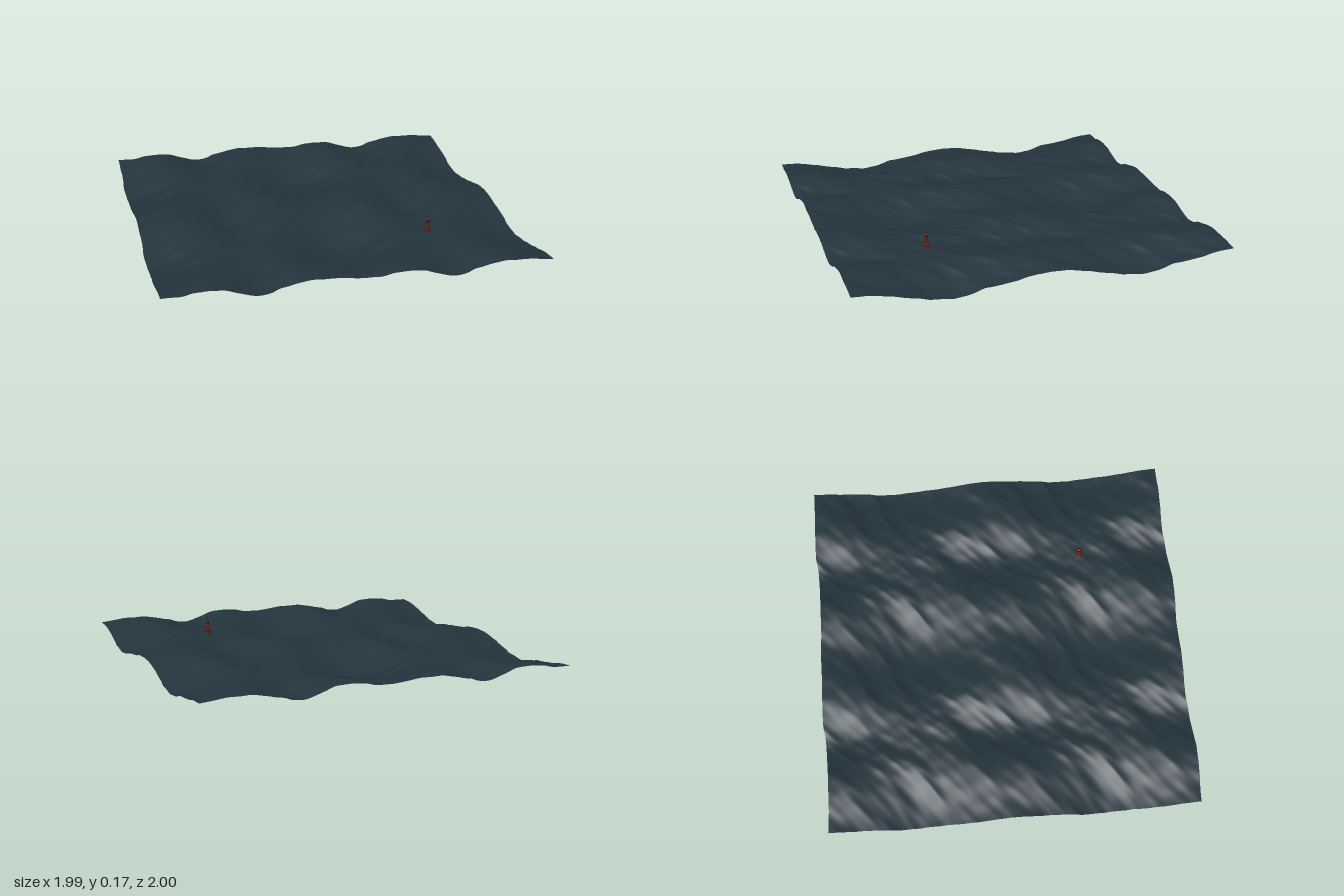
import * as THREE from 'three';

const SEA_SIZE = 1.98;
const TAU = Math.PI * 2;

// Small ripples: [cycles along x, cycles along z, amplitude, phase]
const RIPPLES = [
  [2, 3, 0.0026, 0.6], [3, 2, 0.0022, 2.1], [4, 5, 0.0016, 4.0],
  [1, 5, 0.0016, 1.3], [7, 4, 0.0011, 5.2], [5, 9, 0.0009, 0.2],
  [11, 8, 0.0006, 3.3], [9, -4, 0.0006, 2.7], [13, 15, 0.0004, 1.1],
];

// Choppy periodic swell: returns the displaced point for a flat grid point
function seaPoint(x, z) {
  const u = TAU * x / (SEA_SIZE / 2), v = TAU * z / (SEA_SIZE / 2);
  const cu = Math.cos(u), su = Math.sin(u), cv = Math.cos(v), sv = Math.sin(v);
  let y = 0.0475 - 0.0075 * cu + 0.01 * cv + 0.025 * cu * cv
    + su * su * (0.03 + 0.0075 * cv);
  let px = x + 0.026 * su + 0.003 * Math.sin(2 * v + 1) * cu;
  let pz = z + 0.006 * su * cv + 0.008 * sv;
  for (const [kx, kz, amp, phase] of RIPPLES) {
    // bend the ripples with the swell so the crests wander
    const a = kx * u + kz * v + phase + 0.9 * Math.sin(u - v) + 0.6 * Math.sin(2 * u + v);
    const len = Math.hypot(kx, kz);
    y += amp * Math.cos(a);
    px -= amp * 0.8 * Math.sin(a) * kx / len;
    pz -= amp * 0.8 * Math.sin(a) * kz / len;
  }
  return [px, Math.max(0, y), pz];
}

function createSea() {
  const geo = new THREE.PlaneGeometry(SEA_SIZE, SEA_SIZE, 160, 160);
  geo.rotateX(-Math.PI / 2);
  const pos = geo.attributes.position;
  for (let i = 0; i < pos.count; i++) {
    pos.setXYZ(i, ...seaPoint(pos.getX(i), pos.getZ(i)));
  }
  geo.computeVertexNormals();
  const sea = new THREE.Mesh(geo, new THREE.MeshStandardMaterial({ color: 0x24343d, side: THREE.DoubleSide }));
  sea.name = 'seaSurface';
  return sea;
}

function createBuoy() {
  const buoy = new THREE.Group();
  buoy.name = 'buoy';
  const red = new THREE.MeshStandardMaterial({ color: 0x6e1a10 });
  const dark = new THREE.MeshStandardMaterial({ color: 0x2a1614 });
  const add = (name, geo, mat, y) => {
    const mesh = new THREE.Mesh(geo, mat);
    mesh.name = name;
    mesh.position.y = y;
    buoy.add(mesh);
    return mesh;
  };

  // Float, partly under water
  add('float', new THREE.CylinderGeometry(0.016, 0.014, 0.026, 16), red, 0.002);
  add('floatRim', new THREE.TorusGeometry(0.016, 0.002, 6, 20).rotateX(Math.PI / 2), dark, 0.012);

  // Tapering frame of four legs with rings
  const up = new THREE.Vector3(0, 1, 0);
  for (let i = 0; i < 4; i++) {
    const a = Math.PI / 4 + i * Math.PI / 2;
    const foot = new THREE.Vector3(Math.cos(a) * 0.013, 0.013, Math.sin(a) * 0.013);
    const head = new THREE.Vector3(Math.cos(a) * 0.008, 0.052, Math.sin(a) * 0.008);
    const span = head.clone().sub(foot);
    const leg = add('frameLeg', new THREE.CylinderGeometry(0.0014, 0.0014, span.length(), 6), red, 0);
    leg.position.copy(foot).addScaledVector(span, 0.5);
    leg.quaternion.setFromUnitVectors(up, span.normalize());
  }
  add('frameRing', new THREE.TorusGeometry(0.0105, 0.0012, 5, 16).rotateX(Math.PI / 2), red, 0.033);

  // Platform, lantern housing and mast
  add('platform', new THREE.CylinderGeometry(0.0105, 0.0105, 0.004, 12), red, 0.052);
  add('lantern', new THREE.CylinderGeometry(0.008, 0.009, 0.016, 12), dark, 0.061);
  add('lanternCap', new THREE.CylinderGeometry(0.002, 0.009, 0.005, 12), red, 0.0715);
  add('mast', new THREE.CylinderGeometry(0.0014, 0.0014, 0.024, 6), dark, 0.084);

  buoy.position.set(0.49, 0.07, 0.49);
  return buoy;
}

export function createModel() {
  const model = new THREE.Group();
  model.name = 'seaWithBuoy';
  model.add(createSea(), createBuoy());
  return model;
}
